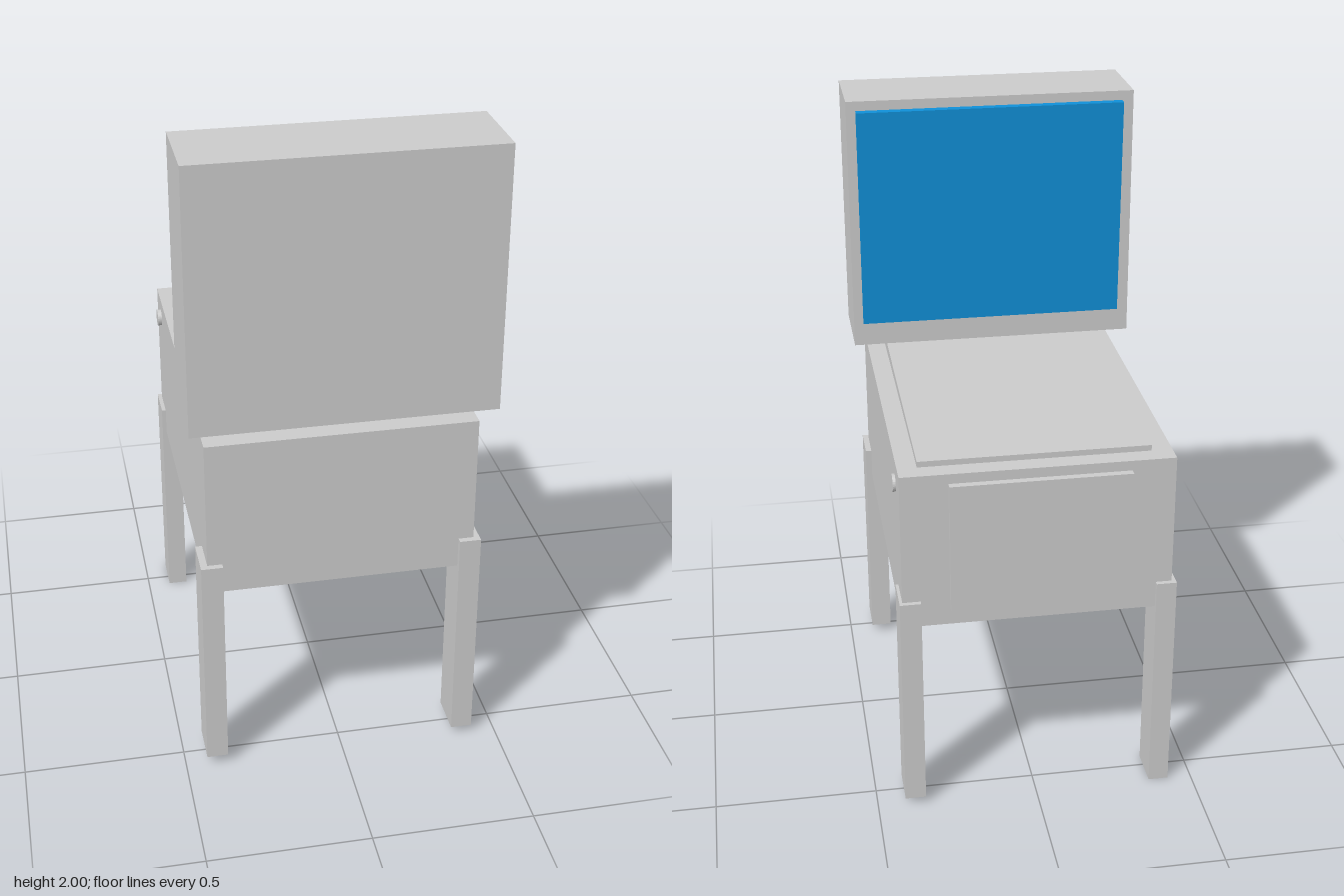
import * as THREE from 'three';

const grey = new THREE.MeshStandardMaterial({ color: 0xcccccc, flatShading: true });
const blue = new THREE.MeshStandardMaterial({ color: 0x1090d8, flatShading: true });

// Box given by its minimum and maximum on each axis
function box(name, [x0, x1], [y0, y1], [z0, z1], material = grey) {
  const geometry = new THREE.BoxGeometry(x1 - x0, y1 - y0, z1 - z0);
  geometry.translate((x0 + x1) / 2, (y0 + y1) / 2, (z0 + z1) / 2);
  const mesh = new THREE.Mesh(geometry, material);
  mesh.name = name;
  return mesh;
}

// Prism across x from a side profile of [z, y] points
function sideProfile(name, [x0, x1], points, material = grey) {
  const shape = new THREE.Shape(points.map(([z, y]) => new THREE.Vector2(-z, y)));
  const geometry = new THREE.ExtrudeGeometry(shape, { depth: x1 - x0, bevelEnabled: false });
  geometry.rotateY(Math.PI / 2).translate(x0, 0, 0);
  const mesh = new THREE.Mesh(geometry, material);
  mesh.name = name;
  return mesh;
}

// Round button whose axis runs along x
function button(name, [x0, x1], y, z) {
  const geometry = new THREE.CylinderGeometry(0.027, 0.027, x1 - x0, 24);
  geometry.rotateZ(Math.PI / 2).translate((x0 + x1) / 2, y, z);
  const mesh = new THREE.Mesh(geometry, grey);
  mesh.name = name;
  return mesh;
}

export function createModel() {
  const group = new THREE.Group();
  group.name = 'arcadeTable';

  // Main cabinet with its sloping glass and the panel on the player's end
  group.add(box('cabinet', [-0.413, 0.405], [0.635, 1.135], [-0.565, 0.556]));
  group.add(sideProfile('playfieldGlass', [-0.35, 0.346],
    [[0.468, 1.12], [0.468, 1.171], [-0.507, 1.153], [-0.507, 1.12]]));
  group.add(box('coinDoor', [-0.28, 0.262], [0.692, 1.104], [-0.587, -0.55]));

  // Upright head with a slightly tilted display
  group.add(box('headBox', [-0.458, 0.455], [1.187, 2], [0.312, 0.587]));
  group.add(sideProfile('display', [-0.421, 0.425],
    [[0.33, 1.28], [0.33, 1.97], [0.283, 1.97], [0.3, 1.265], [0.312, 1.28]], blue));

  // Legs overlapping the cabinet corners
  const legs = [
    ['playerLegRight', [-0.426, -0.364], [0, 0.72], [-0.58, -0.455]],
    ['playerLegLeft', [0.35, 0.414], [0.02, 0.72], [-0.58, -0.455]],
    ['headLegRight', [-0.434, -0.368], [0.03, 0.732], [0.445, 0.575]],
    ['headLegLeft', [0.358, 0.424], [0.025, 0.732], [0.445, 0.575]],
  ];
  for (const leg of legs) group.add(box(...leg));

  // Side buttons near the player's end
  group.add(button('buttonLeft', [0.39, 0.414], 1.06, -0.445));
  group.add(button('buttonRight', [-0.426, -0.4], 1.07, -0.472));

  return group;
}
